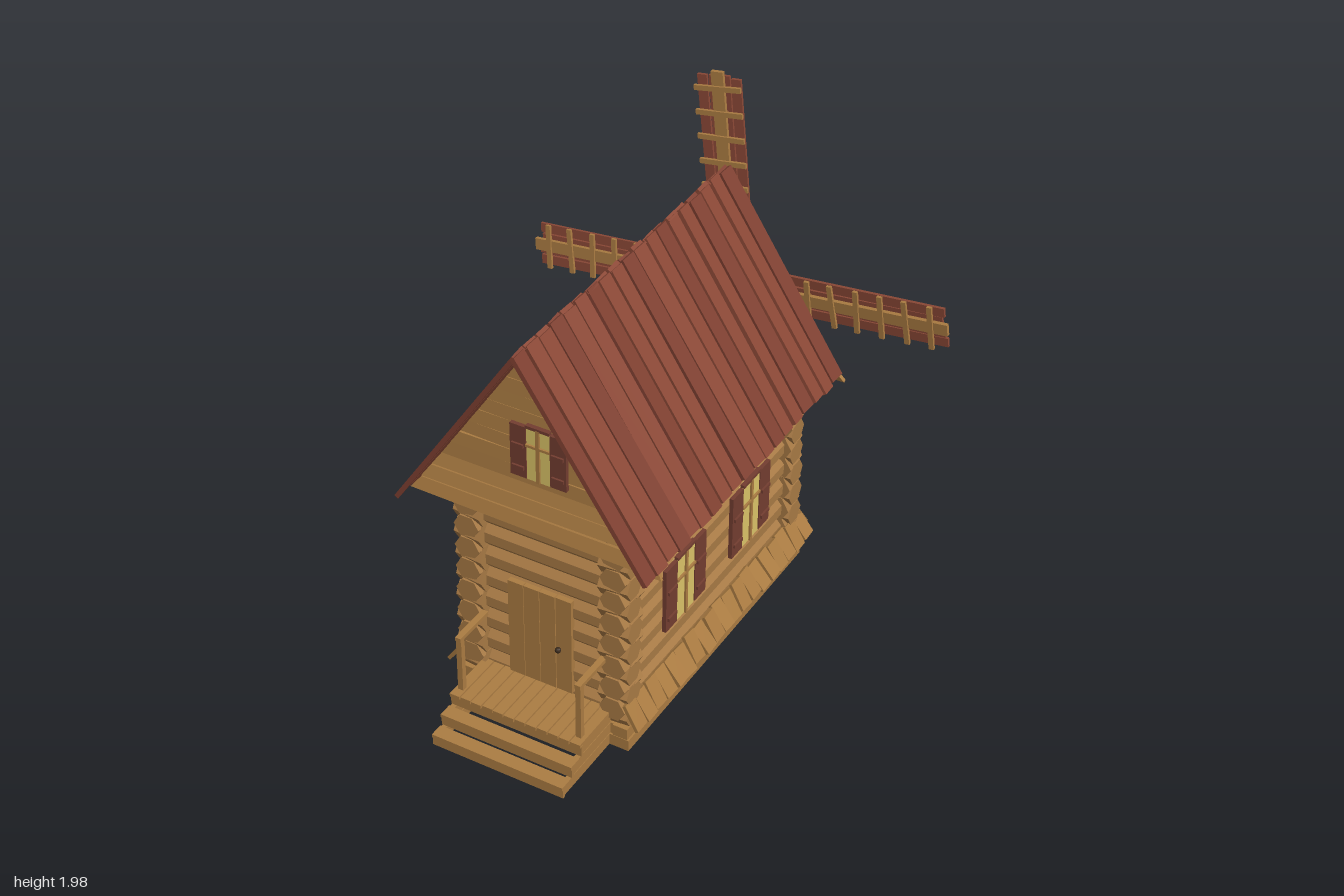
import * as THREE from 'three';

const mat = (color) => new THREE.MeshStandardMaterial({ color, flatShading: true, side: THREE.DoubleSide });
const M = {
  log: mat(0xa87a45), plank: mat(0xab7c42), roof: mat(0x8b4836), roofDark: mat(0x7f4031),
  shutter: mat(0x733d30), pane: mat(0xdcc468), iron: mat(0x3a2a1c),
};
let seed = 7;
const rnd = (a) => { seed = (seed * 16807) % 2147483647; return (seed / 2147483647 * 2 - 1) * a; };

function add(parent, name, geo, m, x = 0, y = 0, z = 0) {
  const mesh = new THREE.Mesh(geo, m);
  mesh.name = name;
  mesh.position.set(x, y, z);
  parent.add(mesh);
  return mesh;
}
const box = (p, name, m, w, h, d, x, y, z) => add(p, name, new THREE.BoxGeometry(w, h, d), m, x, y, z);
function group(parent, name) {
  const g = new THREE.Group();
  g.name = name;
  parent.add(g);
  return g;
}

// Wall log along x, slightly flattened, flat face outwards
function logGeometry(length) {
  const geo = new THREE.CylinderGeometry(0.054, 0.054, length, 8);
  geo.rotateY(Math.PI / 8);
  geo.rotateZ(Math.PI / 2);
  return geo.scale(1, 1, 0.86);
}

// Swollen six-sided log end along +x, ridges pointing sideways
function knotGeometry() {
  const geo = new THREE.CylinderGeometry(0.052, 0.063, 0.115, 6);
  return geo.rotateZ(-Math.PI / 2);
}

// Faces +z, centred on its pane
function makeWindow(w, h, shutterW) {
  const g = new THREE.Group();
  g.name = 'window';
  const s = new THREE.Shape();
  s.moveTo(-w / 2, -h / 2);
  s.lineTo(w / 2, -h / 2);
  s.lineTo(w / 2, h / 2 - 0.012);
  s.quadraticCurveTo(0, h / 2 + 0.016, -w / 2, h / 2 - 0.012);
  add(g, 'pane', new THREE.ExtrudeGeometry(s, { depth: 0.018, bevelEnabled: false, curveSegments: 6 }), M.pane, 0, 0, -0.01);
  box(g, 'mullion', M.plank, 0.014, h, 0.012, 0, 0, 0.01);
  box(g, 'transom', M.plank, w, 0.01, 0.012, 0, h * 0.16, 0.01);
  box(g, 'lintel', M.shutter, w, 0.012, 0.018, 0, h / 2 + 0.002, 0.006);
  for (const side of [-1, 1]) {
    const x = side * (w + shutterW) / 2;
    box(g, 'shutter', M.shutter, shutterW, h * 0.97, 0.016, x, 0, 0.004);
    for (const k of [-0.3, 0.12]) box(g, 'shutterBatten', M.shutter, shutterW * 0.75, 0.014, 0.01, x, h * k, 0.015);
  }
  return g;
}

// Triangle of horizontal boards facing +z, the lowest ones flaring outwards
function makeGable() {
  const g = new THREE.Group();
  g.name = 'gable';
  const rows = 13, y0 = 0.87, y1 = 1.65, step = (y1 - y0) / rows;
  const half = (y) => Math.max(0.004, 0.512 * (y1 - y) / (y1 - y0));
  for (let i = 0; i < rows; i++) {
    const y = y0 + i * step, t = step * 0.93;
    const s = new THREE.Shape();
    s.moveTo(-half(y), rnd(0.005));
    s.lineTo(half(y), rnd(0.005));
    s.lineTo(half(y + t), t + rnd(0.004));
    s.lineTo(-half(y + t), t + rnd(0.004));
    const b = add(g, 'gableBoard', new THREE.ExtrudeGeometry(s, { depth: 0.014, bevelEnabled: false }), M.plank, 0, y, Math.max(0, 3 - i) * 0.011);
    b.rotation.x = i < 3 ? -0.3 : -0.08;
    b.rotation.y = rnd(0.012);
  }
  return g;
}

// Sail blade pointing along +y, lattice on the +z side, slightly pitched
function makeBlade() {
  const g = new THREE.Group();
  g.name = 'sailBlade';
  box(g, 'spar', M.plank, 0.048, 0.885, 0.016, 0, 0.443, 0.006);
  for (const x of [-0.066, -0.023, 0.023, 0.066]) {
    const b = box(g, 'sailBoard', M.roof, 0.038, 0.75 + rnd(0.012), 0.012, x, 0.49 + rnd(0.008), -0.008);
    b.rotation.z = rnd(0.008);
  }
  for (let i = 0; i < 7; i++) {
    const b = box(g, 'crossSlat', M.plank, 0.185, 0.02, 0.012, 0, 0.22 + i * 0.1, 0.016);
    b.rotation.z = rnd(0.05);
  }
  return g;
}

export function createModel() {
  seed = 7;
  const model = new THREE.Group();
  model.name = 'windmillCabin';
  const zMid = -0.115;

  // Open foundation ring
  const base = group(model, 'foundation');
  for (let i = 0; i < 2; i++) {
    const y = 0.027 + i * 0.05, o = i * 0.006;
    for (const s of [-1, 1]) {
      box(base, 'sideSill', M.plank, 0.06, 0.048, 1.33, s * (0.335 - o), y, zMid);
      box(base, 'endSill', M.plank, 0.7, 0.048, 0.06, 0, y, zMid + s * (0.635 - o));
    }
  }

  // Log walls, side courses half a step above end courses, hollow inside
  const walls = group(model, 'logWalls');
  const pitch = 0.097, wallX = 0.29, wallZ = 0.598;
  for (let i = 0; i < 8; i++) {
    const y = 0.14 + i * pitch, ySide = y + 0.04;
    for (const s of [-1, 1]) {
      add(walls, 'sideLog', logGeometry(1.24), M.log, s * wallX, ySide, zMid).rotation.y = Math.PI / 2;
      add(walls, 'endLog', logGeometry(0.6), M.log, 0, y, zMid + s * wallZ);
      for (const t of [-1, 1]) {
        const a = add(walls, 'logEnd', knotGeometry(), M.log, s * (0.3 + rnd(0.004)), y, zMid + t * 0.612);
        a.rotation.y = s > 0 ? 0 : Math.PI;
        const b = add(walls, 'logEnd', knotGeometry(), M.log, s * 0.3, ySide, zMid + t * (0.612 + rnd(0.004)));
        b.rotation.y = -t * Math.PI / 2;
      }
    }
  }
  for (const s of [-1, 1]) box(walls, 'eaveBeam', M.plank, 0.11, 0.05, 1.33, s * 0.375, 0.902, zMid);

  // Sloping skirt boards on the sides and back
  const skirt = group(model, 'skirt');
  const skirtRow = (n, length, x, z, yaw) => {
    const row = group(skirt, 'skirtRow');
    row.position.set(x, 0.155, z);
    row.rotation.y = yaw;
    for (let i = 0; i < n; i++) {
      const w = length / n;
      const b = box(row, 'skirtBoard', M.plank, w * 0.93, 0.115, 0.014, (i + 0.5) * w - length / 2, rnd(0.007), rnd(0.004));
      b.rotation.set(-0.55 + rnd(0.1), 0, rnd(0.07));
    }
  };
  skirtRow(19, 1.36, 0.374, -0.125, Math.PI / 2);
  skirtRow(19, 1.36, -0.374, -0.125, -Math.PI / 2);
  skirtRow(10, 0.72, 0, -0.812, Math.PI);

  // Roof boards with open gaps
  const roof = group(model, 'roof');
  const slope = Math.atan2(0.75, 0.5);
  for (const s of [-1, 1]) {
    const side = group(roof, 'roofSide');
    side.position.set(s * 0.25 + 0.006, 1.29, 0);
    side.rotation.z = -s * slope;
    for (let i = 0; i < 19; i++) {
      const b = box(side, 'roofBoard', i % 3 ? M.roof : M.roofDark, 0.9 + rnd(0.012), 0.018, 0.066 + rnd(0.004), 0, rnd(0.003), 0.656 - i * 0.0769);
      b.rotation.y = rnd(0.008);
      b.rotation.x = rnd(0.08);
    }
  }

  // Gables
  const front = makeGable();
  front.position.z = 0.535;
  model.add(front);
  const back = makeGable();
  back.position.z = -0.755;
  back.rotation.y = Math.PI;
  model.add(back);

  // Windows
  const attic = makeWindow(0.095, 0.22, 0.064);
  attic.position.set(0.018, 1.195, 0.556);
  model.add(attic);
  for (const s of [-1, 1]) for (const z of [0.122, -0.37]) {
    const w = makeWindow(0.13, 0.285, 0.08);
    w.position.set(s * 0.342, 0.485, z);
    w.rotation.y = s * Math.PI / 2;
    model.add(w);
  }

  // Door
  const door = group(model, 'door');
  for (let i = 0; i < 4; i++) box(door, 'doorBoard', M.plank, 0.064, 0.42, 0.022, -0.107 + i * 0.066, 0.37, 0.53 + rnd(0.002));
  add(door, 'knob', new THREE.SphereGeometry(0.012, 8, 6), M.iron, 0.072, 0.35, 0.548);

  // Porch steps and deck
  const porch = group(model, 'porch');
  for (let i = 0; i < 3; i++) {
    const z = [0.88, 0.82, 0.755][i], y = 0.028 + i * 0.05;
    box(porch, 'stepFront', M.plank, 0.55, 0.044, 0.014, 0.015, y - 0.004, z - 0.012);
    for (const s of [-1, 1]) box(porch, 'stepSide', M.plank, 0.02, 0.046, z - 0.55, 0.015 + s * 0.262, y, (z + 0.54) / 2);
    if (i < 2) box(porch, 'stepTread', M.plank, 0.55, 0.014, 0.056, 0.015, y + 0.018, z - 0.028);
  }
  for (let i = 0; i < 12; i++) box(porch, 'deckBoard', M.plank, 0.041, 0.016, 0.225 + rnd(0.006), -0.238 + i * 0.046, 0.15, 0.645);
  for (const x of [-0.235, 0.262]) {
    box(porch, 'railPost', M.plank, 0.022, 0.25, 0.022, x, 0.275, 0.712);
    box(porch, 'handRail', M.plank, 0.024, 0.016, 0.18, x, 0.395, 0.637);
  }

  // Sails on their axle
  const sails = group(model, 'sails');
  sails.position.set(0, 1.1, -0.855);
  box(sails, 'axle', M.plank, 0.06, 0.06, 0.2, 0, 0.015, 0.085);
  box(sails, 'hub', M.plank, 0.1, 0.1, 0.03, 0, 0, -0.008).rotation.z = 0.1;
  for (let i = 0; i < 4; i++) {
    const arm = group(sails, 'sailArm');
    arm.rotation.z = 0.105 + i * Math.PI / 2;
    const blade = makeBlade();
    blade.rotation.y = 0.08;
    arm.add(blade);
  }
  return model;
}
